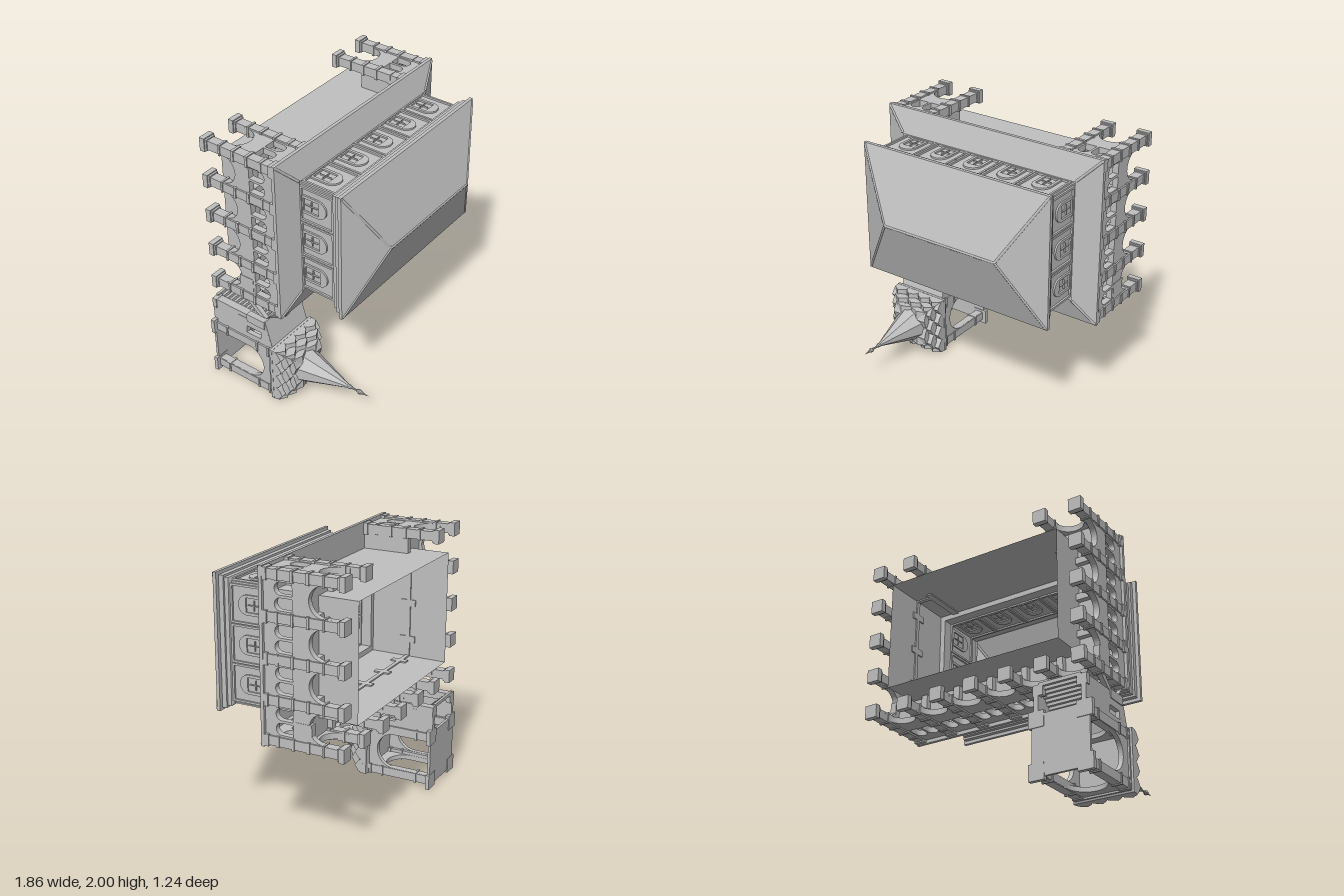
import * as THREE from 'three';

const stone = new THREE.MeshStandardMaterial({ color: 0xc0c0c0, side: THREE.DoubleSide });
stone.name = 'stone';

// The building lies on its back: its own "up" is +z.
const CX = 0.02, CY = 1.38;      // centre of the hall
const TX = -0.695, TY = 0.238;   // centre of the porch tower

function add(parent, geo, name) {
  const m = new THREE.Mesh(geo, stone);
  m.name = name;
  parent.add(m);
  return m;
}

function group(parent, name) {
  const g = new THREE.Group();
  g.name = name;
  parent.add(g);
  return g;
}

// box given by its limits
function box(parent, name, x0, x1, y0, y1, z0, z1) {
  const m = add(parent, new THREE.BoxGeometry(x1 - x0, y1 - y0, z1 - z0), name);
  m.position.set((x0 + x1) / 2, (y0 + y1) / 2, (z0 + z1) / 2);
  return m;
}

// square block on a centre point
const block = (parent, name, x, y, r, z0, z1) => box(parent, name, x - r, x + r, y - r, y + r, z0, z1);

// rectangular cross-sections [halfX, halfY, z] joined by flat faces
function loft(parent, name, x, y, sections) {
  const pos = [];
  const ring = ([a, b, z]) => [[-a, -b, z], [a, -b, z], [a, b, z], [-a, b, z]];
  for (let i = 0; i + 1 < sections.length; i++) {
    const p = ring(sections[i]), q = ring(sections[i + 1]);
    for (let k = 0; k < 4; k++) {
      const n = (k + 1) % 4;
      pos.push(...p[k], ...p[n], ...q[n], ...p[k], ...q[n], ...q[k]);
    }
  }
  const g = new THREE.BufferGeometry();
  g.setAttribute('position', new THREE.Float32BufferAttribute(pos, 3));
  g.computeVertexNormals();
  add(parent, g, name).position.set(x, y, 0);
}

// upright panel: shape runs along `angle` in plan, thickness faces outward
function panel(parent, name, shape, depth, x, y, angle) {
  const g = new THREE.ExtrudeGeometry(shape, { depth, bevelEnabled: false, curveSegments: 10 });
  g.translate(0, 0, -depth / 2);
  const c = Math.cos(angle), s = Math.sin(angle);
  g.applyMatrix4(new THREE.Matrix4().makeBasis(
    new THREE.Vector3(c, s, 0), new THREE.Vector3(0, 0, 1), new THREE.Vector3(s, -c, 0)));
  add(parent, g, name).position.set(x, y, 0);
}

const poly = pts => new THREE.Shape(pts.map(p => new THREE.Vector2(...p)));
const rect = (x0, x1, z0, z1) => poly([[x0, z0], [x1, z0], [x1, z1], [x0, z1]]);

// round-headed outline
function arch(cx, w, z0, z1) {
  const s = new THREE.Shape(), r = w / 2;
  s.moveTo(cx - r, z0);
  s.lineTo(cx + r, z0);
  s.lineTo(cx + r, z1 - r);
  s.absarc(cx, z1 - r, r, 0, Math.PI, false);
  s.closePath();
  return s;
}

// a bay: wide arch below, twin gallery windows above
function bayShape() {
  const s = new THREE.Shape(), r = 0.108;
  s.moveTo(-0.1425, -0.5);
  s.lineTo(-r, -0.5);
  s.lineTo(-r, -0.35 - r);
  s.absarc(0, -0.35 - r, r, Math.PI, 0, true);
  s.lineTo(r, -0.5);
  s.lineTo(0.1425, -0.5);
  s.lineTo(0.1425, -0.02);
  s.lineTo(-0.1425, -0.02);
  s.closePath();
  s.holes.push(arch(-0.052, 0.086, -0.23, -0.1), arch(0.052, 0.086, -0.23, -0.1));
  return s;
}

function column(parent, x, y) {
  const g = group(parent, 'column');
  block(g, 'shaft', x, y, 0.034, -0.59, -0.02);
  block(g, 'columnBase', x, y, 0.05, -0.62, -0.58);
  for (const [r, z0, z1] of [[0.042, -0.58, -0.565], [0.041, -0.47, -0.455], [0.041, -0.36, -0.34],
    [0.041, -0.245, -0.225], [0.039, -0.13, -0.11], [0.043, -0.05, -0.02]]) block(g, 'moulding', x, y, r, z0, z1);
}

function buildHall(root) {
  const hall = group(root, 'hall');
  loft(hall, 'coreWall', CX, CY, [[0.71, 0.42, -0.62], [0.71, 0.42, -0.02]]);
  loft(hall, 'lowerRoof', CX, CY, [[0.71, 0.42, -0.02], [0.9, 0.62, -0.02], [0.9, 0.62, 0.005], [0.725, 0.445, 0.065]]);
  loft(hall, 'upperWall', CX, CY, [[0.71, 0.42, -0.02], [0.67, 0.38, -0.02], [0.67, 0.38, 0.4],
    [0.71, 0.43, 0.4], [0.71, 0.43, 0.05]]);
  loft(hall, 'cornice', CX, CY, [[0.71, 0.43, 0.33], [0.735, 0.455, 0.34], [0.735, 0.455, 0.37],
    [0.75, 0.47, 0.37], [0.75, 0.47, 0.405], [0.66, 0.38, 0.405]]);
  loft(hall, 'upperRoof', CX, CY, [[0.67, 0.38, 0.41], [0.775, 0.492, 0.41], [0.775, 0.492, 0.435], [0.465, 0, 0.615]]);

  // ridge and hip rolls
  const roll = (a, b) => add(hall, new THREE.TubeGeometry(new THREE.LineCurve3(
    new THREE.Vector3(...a), new THREE.Vector3(...b)), 1, 0.01, 6), 'roofRoll');
  roll([CX - 0.465, CY, 0.61], [CX + 0.465, CY, 0.61]);
  for (const i of [-1, 1]) for (const j of [-1, 1]) {
    roll([CX + i * 0.465, CY, 0.61], [CX + i * 0.765, CY + j * 0.482, 0.435]);
    roll([CX + i * 0.73, CY + j * 0.45, 0.062], [CX + i * 0.89, CY + j * 0.61, 0.005]);
  }

  // panelled upper windows, outside and inside
  const frame = rect(-0.137, 0.137, 0.06, 0.335);
  frame.holes.push(rect(-0.122, 0.122, 0.075, 0.32));
  const surround = arch(0, 0.14, 0.08, 0.275);
  surround.holes.push(rect(-0.05, 0.05, 0.09, 0.215));
  const win = (x, y, angle, wall) => {
    const nx = Math.sin(angle), ny = -Math.cos(angle);
    for (const off of [0.005, -wall - 0.003]) {
      const put = (name, s, d) => panel(hall, name, s, d, x + nx * off, y + ny * off, angle);
      put('wallPanel', frame, 0.018);
      put('windowSurround', surround, 0.014);
      put('windowBar', rect(-0.035, 0.035, 0.15, 0.156), 0.012);
      put('windowBar', rect(-0.003, 0.003, 0.105, 0.2), 0.012);
    }
  };
  for (const side of [-1, 1]) {
    for (let i = -2; i <= 2; i++) win(CX + i * 0.28, CY + side * 0.43, side < 0 ? 0 : Math.PI, 0.05);
    for (let i = -1; i <= 1; i++) win(CX + side * 0.71, CY + i * 0.28, side * Math.PI / 2, 0.04);
  }
}

function buildArcade(root) {
  const g = group(root, 'arcade');
  const S = 0.285, HX = 0.855, HY = 0.57, bay = bayShape();
  for (const side of [-1, 1]) {
    for (let i = 0; i < 4; i++) panel(g, 'sideBay', bay, 0.045, CX + side * HX, CY + (i - 1.5) * S, side * Math.PI / 2);
    for (let i = -1; i <= 1; i++) {
      column(g, CX + side * HX, CY + i * S);
      const xs = [CX + side * 0.7, CX + side * HX].sort((a, b) => a - b);
      box(g, 'crossBeam', ...xs, CY + i * S - 0.025, CY + i * S + 0.025, -0.37, -0.25);
    }
    const fx = [CX + side * 0.7, CX + side * HX].sort((a, b) => a - b);
    box(g, 'galleryFloor', ...fx, CY - HY, CY + HY, -0.33, -0.3);
    panel(g, 'endBay', bay, 0.045, CX + side * 2.5 * S, CY + HY, Math.PI);
    const ex = [CX + side * 2 * S, CX + side * HX].sort((a, b) => a - b);
    box(g, 'galleryFloor', ...ex, CY + 0.41, CY + HY, -0.33, -0.3);
    // end wall returning to the core
    box(g, 'returnBeam', CX + side * 2 * S - 0.025, CX + side * 2 * S + 0.025, CY + 0.41, CY + HY, -0.37, -0.02);
    column(g, CX + side * 2 * S, CY + HY);
    column(g, CX + side * HX, CY + HY);
  }
  for (let i = 0; i < 6; i++) panel(g, 'longBay', bay, 0.045, CX + (i - 2.5) * S, CY - HY, 0);
  for (let i = -3; i <= 3; i++) {
    column(g, CX + i * S, CY - HY);
    box(g, 'crossBeam', CX + i * S - 0.025, CX + i * S + 0.025, CY - HY, CY - 0.41, -0.37, -0.25);
  }
  box(g, 'galleryFloor', CX - HX, CX + HX, CY - HY, CY - 0.41, -0.33, -0.3);
}

function buildStair(root) {
  const g = group(root, 'stairLink');
  const sideWall = poly([[0.42, -0.62], [0.62, -0.62], [0.62, -0.3], [0.665, -0.28], [0.665, -0.14], [0.45, -0.08], [0.42, -0.08]]);
  sideWall.holes.push(rect(0.49, 0.55, -0.31, -0.18));
  const brace = poly([[0.65, -0.2], [0.65, -0.15], [0.78, -0.29], [0.78, -0.35]]);
  for (const s of [-1, 1]) {
    panel(g, 'stairWall', sideWall, 0.035, TX + s * 0.178, 0, Math.PI / 2);
    panel(g, 'brace', brace, 0.035, TX + s * 0.14, 0, Math.PI / 2);
    box(g, 'stairCornice', TX + s * 0.178 - 0.024, TX + s * 0.178 + 0.024, 0.6, 0.665, -0.3, -0.14);
    block(g, 'stairPost', TX + s * 0.165, 0.625, 0.03, -0.62, -0.14);
    block(g, 'stairPostBase', TX + s * 0.165, 0.62, 0.038, -0.62, -0.585);
    // two slopes of the link roof
    const r = new THREE.BufferGeometry();
    const a = [TX, 0.79, 0.01], b = [TX, 0.61, -0.1], c = [TX + s * 0.16, 0.67, -0.15], d = [TX + s * 0.16, 0.79, -0.04];
    r.setAttribute('position', new THREE.Float32BufferAttribute(
      s < 0 ? [...a, ...d, ...c, ...a, ...c, ...b] : [...a, ...b, ...c, ...a, ...c, ...d], 3));
    r.computeVertexNormals();
    add(g, r, 'linkRoof');
  }
  // sloping roof over the flight
  panel(g, 'stairRoof', poly([[0.43, -0.09], [0.665, -0.155], [0.67, -0.135], [0.43, -0.07]]), 0.39, TX, 0, Math.PI / 2);
  for (let i = 0; i < 12; i++) {
    const y = 0.67 - i * 0.02, z = -0.6 + i * 0.022;
    box(g, 'step', TX - 0.16, TX + 0.16, y - 0.025, y, z - 0.02, z);
  }
}

function buildTower(root) {
  const g = group(root, 'porchTower');
  box(g, 'towerFloor', TX - 0.215, TX + 0.215, TY - 0.215, TY + 0.215, -0.615, -0.595);
  const wall = rect(-0.2, 0.2, -0.61, -0.08);
  wall.holes.push(arch(0, 0.28, -0.595, -0.165));
  for (let k = 0; k < 4; k++) {
    const a = k * Math.PI / 2;
    panel(g, 'towerWall', wall, 0.035, TX + Math.sin(a) * 0.185, TY - Math.cos(a) * 0.185, a);
  }
  for (const i of [-1, 1]) for (const j of [-1, 1]) {
    const x = TX + i * 0.175, y = TY + j * 0.175;
    block(g, 'towerPier', x, y, 0.033, -0.6, -0.08);
    block(g, 'towerPierBase', x + i * 0.005, y + j * 0.005, 0.058, -0.62, -0.59);
    for (const z of [-0.5, -0.22, -0.12]) block(g, 'pierMoulding', x, y, 0.04, z, z + 0.015);
  }
  loft(g, 'towerCornice', TX, TY, [[0.18, 0.18, -0.1], [0.215, 0.215, -0.1], [0.215, 0.215, -0.085],
    [0.228, 0.228, -0.08], [0.228, 0.228, -0.06], [0, 0, -0.06]]);

  // stepped tiers of ogee gables
  for (const [half, z, n, h] of [[0.226, -0.065, 4, 0.085], [0.188, -0.01, 3, 0.075], [0.15, 0.035, 2, 0.06]]) {
    block(g, 'tierCore', TX, TY, half - 0.03, z - 0.03, z + 0.02);
    const w = 2 * half / n, s = new THREE.Shape();
    s.moveTo(-w / 2, 0);
    s.lineTo(w / 2, 0);
    s.bezierCurveTo(w * 0.58, h * 0.75, w * 0.15, h * 0.7, 0, h);
    s.bezierCurveTo(-w * 0.15, h * 0.7, -w * 0.58, h * 0.75, -w / 2, 0);
    for (let k = 0; k < 4; k++) for (let i = 0; i < n; i++) {
      const a = k * Math.PI / 2, t = (i - (n - 1) / 2) * w, d = half - 0.04;
      const c = Math.cos(a), q = Math.sin(a);
      panel(g, 'ogeeGable', s, 0.08, TX + c * t + q * d, TY + q * t - c * d, a);
      g.children[g.children.length - 1].position.z = z;
    }
  }

  // eight-sided spire and finial
  const spire = new THREE.CylinderGeometry(0.006, 0.14, 0.43, 8).toNonIndexed();
  spire.rotateY(Math.PI / 8).rotateX(Math.PI / 2).computeVertexNormals();
  add(g, spire, 'spire').position.set(TX, TY, 0.255);
  const finial = new THREE.LatheGeometry([[0.014, 0.43], [0.016, 0.46], [0.008, 0.48], [0.006, 0.51], [0.019, 0.54],
    [0.006, 0.575], [0, 0.62]].map(p => new THREE.Vector2(...p)), 8).toNonIndexed();
  finial.rotateX(Math.PI / 2).computeVertexNormals();
  add(g, finial, 'finial').position.set(TX, TY, 0);
}

export function createModel() {
  const root = new THREE.Group();
  root.name = 'galleriedHall';
  buildHall(root);
  buildArcade(root);
  buildStair(root);
  buildTower(root);
  return root;
}
